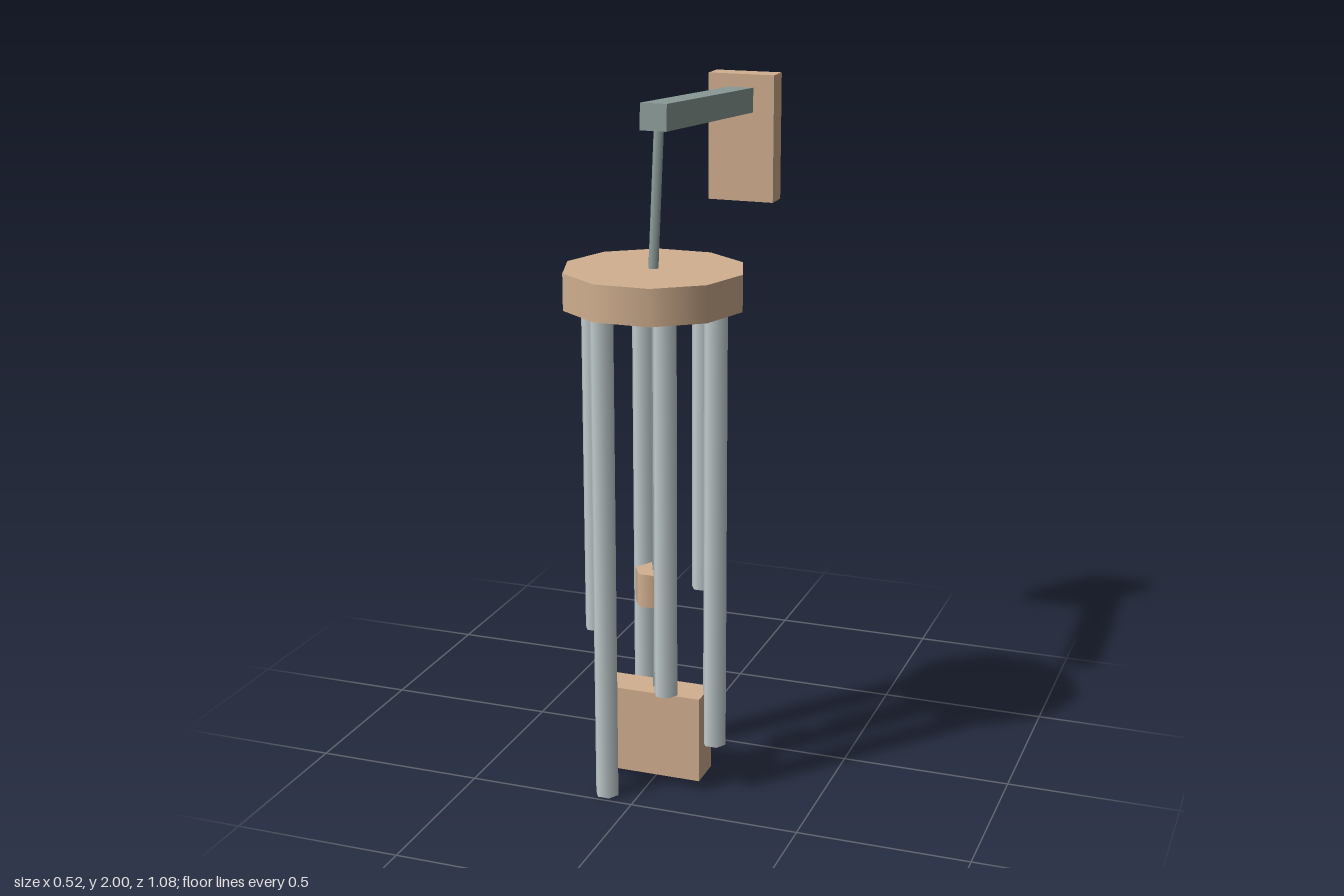
import * as THREE from 'three';

const material = (name, color) => {
  const m = new THREE.MeshStandardMaterial({ color });
  m.name = name;
  return m;
};

export function createModel() {
  const model = new THREE.Group();
  model.name = 'windChime';
  const wood = material('wood', 0xd2b090);
  const iron = material('darkMetal', 0x8c9b98);
  const silver = material('tubeMetal', 0xc3cdcf);
  const hangZ = 0.293; // chime axis

  const add = (name, geometry, mat, x, y, z) => {
    const mesh = new THREE.Mesh(geometry, mat);
    mesh.name = name;
    mesh.position.set(x, y, z);
    model.add(mesh);
    return mesh;
  };
  // Upright prism with corners on the x axis
  const prism = (name, r, sides, bottom, top, mat, x, z) => {
    const geometry = new THREE.CylinderGeometry(r, r, top - bottom, sides);
    geometry.rotateY(Math.PI / sides);
    return add(name, geometry, mat, x, (top + bottom) / 2, z);
  };

  // Wall plate and rising arm
  add('wallPlate', new THREE.BoxGeometry(0.21, 0.39, 0.077), wood, 0, 1.795, -0.5015);
  const arm = add('arm', new THREE.BoxGeometry(0.078, 0.075, 0.765), iron, 0, 1.937, -0.089);
  arm.rotation.x = -0.066;

  // Slanted hanger between arm and disc
  const low = new THREE.Vector3(0, 1.53, 0.298);
  const high = new THREE.Vector3(0, 1.935, 0.248);
  const span = high.clone().sub(low);
  const hanger = prism('hanger', 0.015, 6, 0, span.length(), iron, 0, 0);
  hanger.position.copy(low).add(high).multiplyScalar(0.5);
  hanger.quaternion.setFromUnitVectors(new THREE.Vector3(0, 1, 0), span.normalize());

  // Disc, cord, striker and sail
  prism('topDisc', 0.26, 10, 1.44, 1.545, wood, 0, hangZ);
  prism('cord', 0.008, 6, 0.28, 1.45, iron, 0, 0.297);
  prism('striker', 0.06, 6, 0.555, 0.655, wood, 0, 0.297);
  add('sail', new THREE.BoxGeometry(0.31, 0.26, 0.105), wood, 0, 0.16, 0.297);

  // Six tubes in a ring, from the left side round by the front
  [0.135, 0.345, 0, 0.45, 0.21, 0.555].forEach((bottom, i) => {
    const a = (i * Math.PI) / 3;
    prism('tube' + (i + 1), 0.035, 6, bottom, 1.445, silver,
      0.184 * Math.cos(a), 0.297 + 0.159 * Math.sin(a) / Math.sin(Math.PI / 3));
  });

  return model;
}
